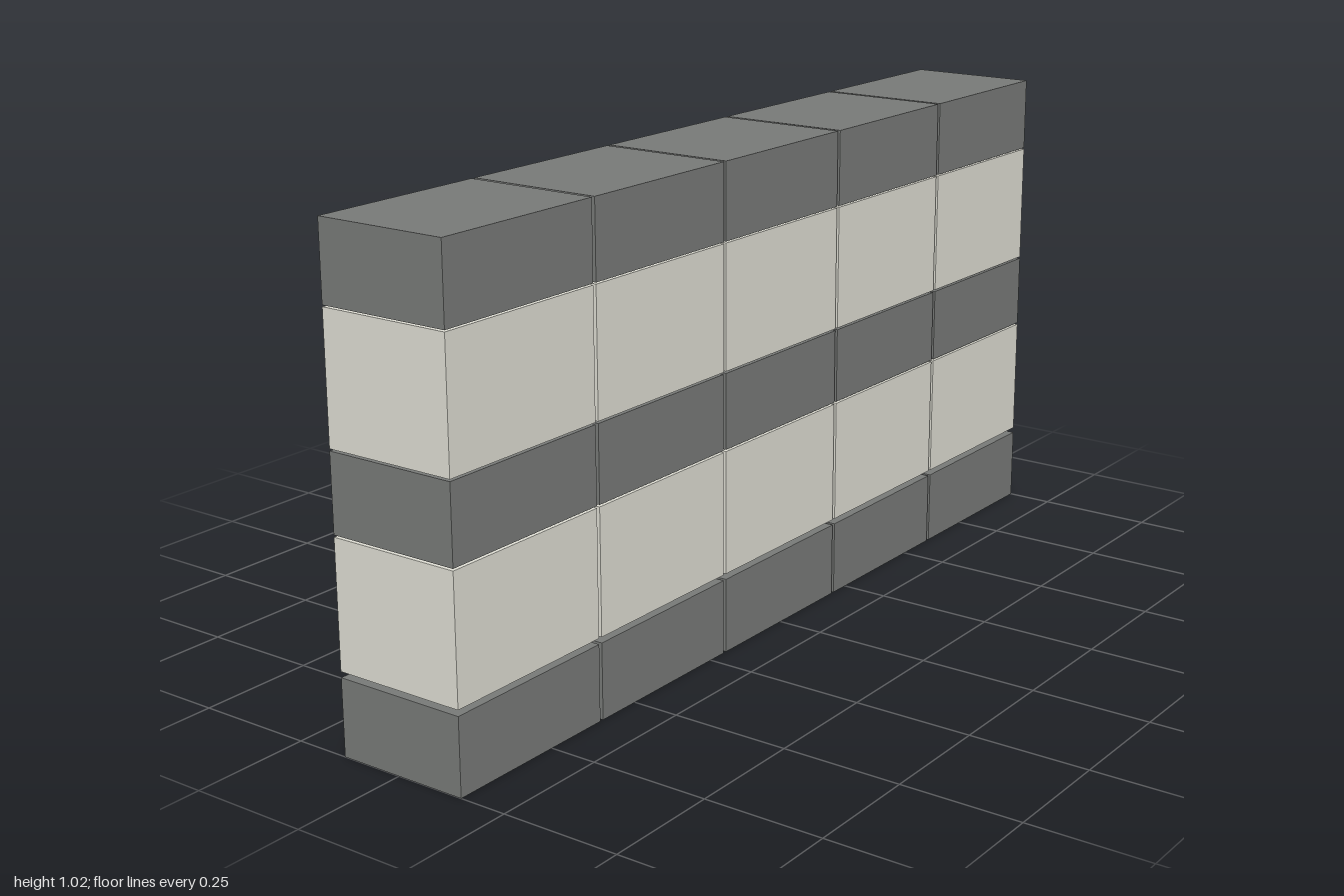
import * as THREE from 'three';

const COLS = 5, GAP = 0.008;
const WIDTH = (2 - GAP * (COLS - 1)) / COLS;
const Z_FRONT = 0.15, Z_BACK = -0.135;

const grey = new THREE.MeshStandardMaterial({ color: 0x777977 });
const cream = new THREE.MeshStandardMaterial({ color: 0xdddcd2 });
const black = new THREE.MeshStandardMaterial({ color: 0x1e201e });

// Stacked rows: bottom, top, material, name
const ROWS = [
  [0, 0.158, grey, 'basePlinth'],
  [0.17, 0.43, cream, 'lowerCabinet'],
  [0.434, 0.592, grey, 'middleBand'],
  [0.596, 0.855, cream, 'upperCabinet'],
  [0.858, 1.016, grey, 'topBand'],
];

// Bowed pull handle: side profile extruded across its width
function handleGeometry() {
  const h = 0.061, w = 0.02;
  const s = new THREE.Shape();
  s.moveTo(0, -h);
  s.lineTo(0.007, -h);
  s.quadraticCurveTo(0.022, 0, 0.007, h);
  s.lineTo(0, h);
  s.closePath();
  const g = new THREE.ExtrudeGeometry(s, { depth: w, bevelEnabled: false, curveSegments: 8 });
  g.translate(0, 0, -w / 2);
  g.rotateY(Math.PI / 2);
  return g;
}

export function createModel() {
  const model = new THREE.Group();
  model.name = 'lockerWall';
  const handleGeo = handleGeometry();

  for (let i = 0; i < COLS; i++) {
    const column = new THREE.Group();
    column.name = 'column' + (i + 1);
    column.position.x = -1 + WIDTH / 2 + i * (WIDTH + GAP);

    for (const [y0, y1, material, name] of ROWS) {
      const box = new THREE.Mesh(new THREE.BoxGeometry(WIDTH, y1 - y0, Z_FRONT - Z_BACK), material);
      box.name = name;
      box.position.set(0, (y0 + y1) / 2, (Z_FRONT + Z_BACK) / 2);
      column.add(box);

      // Door handle on the back of each cabinet
      if (material === cream) {
        const handle = new THREE.Mesh(handleGeo, black);
        handle.name = name + 'Handle';
        handle.position.set(0.055 - WIDTH / 2, y0 + (y0 < 0.5 ? 0.134 : 0.14), Z_BACK);
        column.add(handle);
      }
    }
    model.add(column);
  }
  return model;
}
